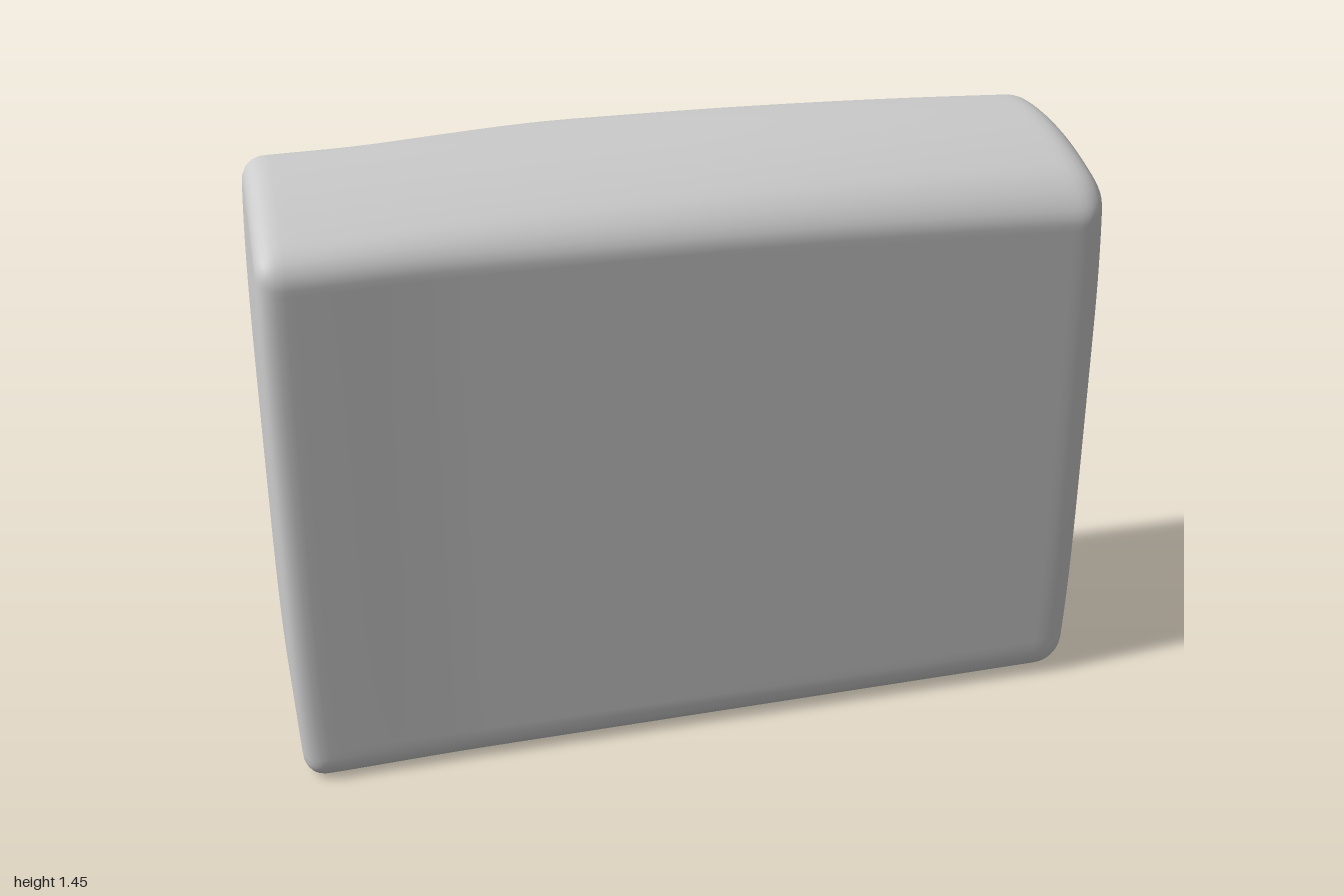
import * as THREE from 'three';
import { mergeVertices } from 'three/addons/utils/BufferGeometryUtils.js';

const WIDTH = 2, HEIGHT = 1.45, FRONT = 0.268, BACK = -0.18;
const DEPTH = FRONT - BACK;
const { smoothstep, clamp } = THREE.MathUtils;

// Pull the corners of a plain box in to a round edge
function roundCorner(p) {
  const r = 0.065 + 0.015 * p.x;
  const half = new THREE.Vector3(WIDTH / 2 - r, HEIGHT / 2 - r, DEPTH / 2 - r);
  const core = p.clone().clamp(half.clone().negate(), half);
  const out = p.clone().sub(core);
  const reach = Math.max(Math.abs(out.x), Math.abs(out.y), Math.abs(out.z));
  if (reach > 1e-6) out.setLength(reach);
  return core.add(out);
}

// Shape the rounded block: swept back lip, sloping top, soft worn end
function shapeCushion(p) {
  let { x } = p;
  let y = p.y + HEIGHT / 2;
  let z = p.z + (FRONT + BACK) / 2;
  const toBack = (FRONT - z) / DEPTH;
  const end = smoothstep(-x, 0.55, 1);

  // back lip, fading out towards the right end
  const rise = clamp((y - 1.08) / 0.33, 0, 1);
  const lip = 0.005 + 0.095 * smoothstep(x, -0.8, -0.2);
  z -= lip * Math.pow(rise, 1.6) * toBack;

  // hollow under the faded lip, and the slight bend of that end
  const hollow = Math.exp(-(((x + 0.7) / 0.16) ** 2) - ((y - 1.25) / 0.1) ** 2);
  z += 0.02 * hollow * toBack;
  z += end * (0.008 + 0.02 * toBack * (1 - rise));

  // crowned top that falls towards the front and the ends
  const u = (FRONT - z) / 0.55;
  const drop = 0.12 * (1 - u / 0.75) ** 2 + (x > 0 ? 0.025 : 0.008) * x * x;
  y -= drop * clamp((y - 0.8) / 0.65, 0, 1);

  // sides narrow a little at top and bottom
  x *= 1 - 0.015 * Math.pow(Math.abs(y - 0.72) / 0.72, 4);
  return new THREE.Vector3(x, y, z);
}

export function createModel() {
  const group = new THREE.Group();
  group.name = 'backCushion';

  let geometry = new THREE.BoxGeometry(WIDTH, HEIGHT, DEPTH, 96, 72, 28);
  geometry.deleteAttribute('uv');
  geometry.deleteAttribute('normal');
  geometry = mergeVertices(geometry, 1e-4);
  const pos = geometry.attributes.position;
  const v = new THREE.Vector3();
  for (let i = 0; i < pos.count; i++) {
    v.fromBufferAttribute(pos, i);
    const q = shapeCushion(roundCorner(v));
    pos.setXYZ(i, q.x, q.y, q.z);
  }
  geometry.computeVertexNormals();

  const cushion = new THREE.Mesh(geometry, new THREE.MeshStandardMaterial({ color: 0xcccccc }));
  cushion.name = 'cushion';
  group.add(cushion);
  return group;
}
